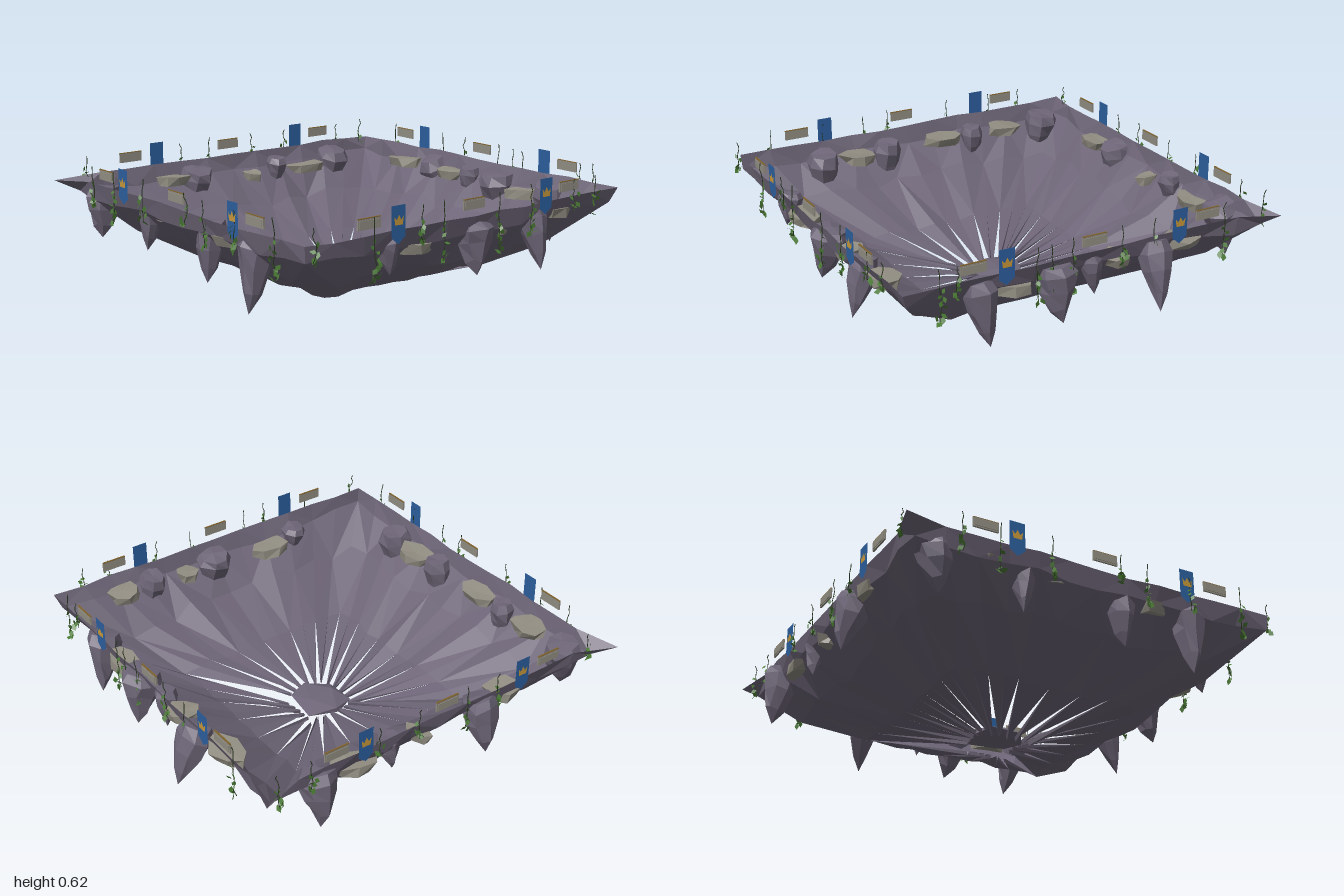
import * as THREE from 'three';
import { mergeGeometries } from 'three/addons/utils/BufferGeometryUtils.js';

const mat = (name, color, extra = {}) => {
  const m = new THREE.MeshStandardMaterial({ color, ...extra });
  m.name = name;
  return m;
};

// small seeded random in -1..1
let seed = 7;
const rnd = () => {
  seed = (seed * 16807) % 2147483647;
  return (seed / 2147483647) * 2 - 1;
};

// moves coincident corners together by a small random amount
function roughen(geo, amount) {
  const moved = new Map(), p = geo.attributes.position;
  for (let i = 0; i < p.count; i++) {
    const k = [p.getX(i), p.getY(i), p.getZ(i)].map(v => Math.round(v * 1e4)).join();
    if (!moved.has(k)) moved.set(k, [rnd() * amount, rnd() * amount, rnd() * amount]);
    const [a, b, c] = moved.get(k);
    p.setXYZ(i, p.getX(i) + a, p.getY(i) + b, p.getZ(i) + c);
  }
  geo.computeVertexNormals();
  return geo;
}

// square bowl: nested square rings, ending in separate tapering spikes
function bowlGeometry() {
  const N = 12, T = N * 4, pos = [];
  const rings = [[0.92, 0.51, 0.012], [0.895, 0.43, 0.015], [0.75, 0.29, 0.025], [0.47, 0.13, 0.012]];
  const squarePoint = (h, i) => {
    const s = Math.floor(i / N) % 4, t = (i % N) / N;
    return new THREE.Vector3(h * (2 * t - 1), 0, h).applyAxisAngle(new THREE.Vector3(0, 1, 0), s * Math.PI / 2);
  };
  const pts = rings.map(([h, y, j], r) => Array.from({ length: T }, (_, i) => {
    const v = squarePoint(h + rnd() * j * (r ? 1 : 0.6), i);
    v.x *= v.x > 0 ? 0.98 : 1.01;
    v.z *= v.z < 0 ? 0.98 : 1;
    v.y = y + rnd() * j * (r ? 1 : 0.5) - (r === 2 && i % 2 ? 0.02 : 0);
    return v;
  }));
  // drawn-out back corners
  pts[0][24].set(0.95, 0.49, -0.955);
  pts[0][36].set(-1, 0.49, -0.965);
  const tri = (...vs) => vs.forEach(v => pos.push(v.x, v.y, v.z));
  for (let r = 0; r < 3; r++) {
    for (let i = 0; i < T; i++) {
      const k = (i + 1) % T, a = pts[r][i], b = pts[r][k], c = pts[r + 1][i], d = pts[r + 1][k];
      if ((i + r) % 2) { tri(a, b, d); tri(a, d, c); } else { tri(a, b, c); tri(b, d, c); }
    }
  }
  // front and back spikes end a little higher than those at the sides
  for (let i = 0; i < T; i += 2) {
    const a = pts[3][i], m = pts[3][i + 1], b = pts[3][(i + 2) % T];
    const h = 0.115 + rnd() * 0.015, low = Math.floor(i / N) % 2 ? 0 : 0.04;
    const mid = squarePoint(h, i + 1).setY(low);
    const p = squarePoint(h, i).lerp(mid, 0.72).setY(low + 0.018);
    const q = squarePoint(h, i + 2).lerp(mid, 0.72).setY(low + 0.018);
    tri(a, m, mid); tri(a, mid, p); tri(m, b, q); tri(m, q, mid);
  }
  const g = new THREE.BufferGeometry();
  g.setAttribute('position', new THREE.Float32BufferAttribute(pos, 3));
  g.computeVertexNormals();
  return g;
}

// flat-topped rock tapering to a point below
function hangingRockGeometry(r, height) {
  const profile = [[0, -height], [r * 0.45, -height * 0.74], [r * 0.82, -height * 0.42],
    [r, -height * 0.16], [r * 0.8, 0], [0, 0.002]].map(([x, y]) => new THREE.Vector2(x, y));
  return roughen(new THREE.LatheGeometry(profile, 7), r * 0.1);
}

// thin wavering stem with small diamond leaves, denser lower down
function vineGeometries(length) {
  const path = [];
  for (let i = 0; i <= 7; i++) path.push(new THREE.Vector3(rnd() * 0.007, -length * i / 7, rnd() * 0.007));
  const curve = new THREE.CatmullRomCurve3(path);
  const leaves = [];
  const count = Math.round(length * 45);
  for (let i = 0; i < count; i++) {
    const t = 0.2 + 0.8 * Math.pow((i + 1) / count, 0.6), s = 0.008 + 0.008 * t;
    const leaf = new THREE.CircleGeometry(s, 4).scale(0.8, 1.2, 1);
    leaf.rotateX(rnd() * 0.9).rotateY(rnd() * 1.2).rotateZ(rnd());
    const p = curve.getPoint(t);
    leaves.push(leaf.translate(p.x + rnd() * 0.015, p.y, p.z + 0.004 + rnd() * 0.012));
  }
  return [new THREE.TubeGeometry(curve, 8, 0.0022, 3), mergeGeometries(leaves)];
}

const polygon = points => new THREE.Shape(points.map(([x, y]) => new THREE.Vector2(x, y)));

// per side, seen from outside: rim distance, rocks [x, radius, tip y, lean], slabs [x, width], vines x
const SIDES = [
  { name: 'front', rim: 0.92,
    rocks: [[-0.45, 0.06, 0.31, 0.15], [0.04, 0.09, 0.24, 0.2], [0.4, 0.07, 0.21, 0.25]],
    slabs: [[-0.29, 0.22], [0.21, 0.11], [0.57, 0.16]],
    vines: [-0.89, -0.58, -0.32, -0.2, 0.13, 0.33, 0.6, 0.74] },
  { name: 'right', rim: 0.9,
    rocks: [[-0.55, 0.08, 0.18, 0.15], [-0.19, 0.1, 0.21, 0.2], [0, 0.055, 0.29, 0.1], [0.31, 0.08, 0.17, 0.38]],
    slabs: [[0.49, 0.22], [0.14, 0.16], [-0.38, 0.2]],
    vines: [-0.76, -0.68, -0.3, -0.23, -0.13, 0.12, 0.28, 0.66] },
  { name: 'back', rim: 0.9,
    rocks: [[0.25, 0.09, 0.2, 0.25], [-0.25, 0.055, 0.3, 0.1], [-0.63, 0.09, 0.2, 0.2]],
    slabs: [[0.41, 0.17], [-0.43, 0.2], [-0.08, 0.08]],
    vines: [-0.87, -0.7, -0.35, -0.13, 0.13, 0.31, 0.85] },
  { name: 'left', rim: 0.93,
    rocks: [[-0.77, 0.09, 0.23, 0.1], [-0.34, 0.06, 0.25, 0.1], [0.15, 0.07, 0.2, 0.1], [0.5, 0.08, 0.15, 0.15]],
    slabs: [[-0.53, 0.2], [-0.17, 0.24], [0.31, 0.2]],
    vines: [-0.68, -0.5, -0.25, 0.1, 0.24, 0.46, 0.74] },
];

export function createModel() {
  const flat = { flatShading: true }, open = { side: THREE.DoubleSide };
  const rock = mat('purple grey rock', 0x6e6678, { ...flat, ...open });
  const stone = mat('pale stone', 0x928e83, flat);
  const blue = mat('banner blue', 0x2c5f9e, open);
  const gold = mat('gold', 0xc8983a, open);
  const bronze = mat('bronze', 0x80622c);
  const stemMat = mat('vine stem', 0x2c3a22);
  const leafMat = mat('leaf green', 0x4a7a34, open);

  const model = new THREE.Group();
  model.name = 'floatingRockBase';
  const add = (parent, name, geo, material, x = 0, y = 0, z = 0) => {
    const m = new THREE.Mesh(geo, material);
    m.name = name;
    m.position.set(x, y, z);
    parent.add(m);
    return m;
  };

  add(model, 'bowl', bowlGeometry(), rock);
  add(model, 'centreRock', roughen(new THREE.IcosahedronGeometry(0.145, 0), 0.02).scale(1, 0.22, 1), rock, 0, 0.06, 0);

  const bannerGeo = new THREE.ShapeGeometry(polygon(
    [[-0.038, 0.62], [-0.038, 0.485], [0, 0.455], [0.038, 0.485], [0.038, 0.62]]));
  const crownGeo = new THREE.ShapeGeometry(polygon(
    [[-0.021, 0.537], [0.021, 0.537], [0.026, 0.574], [0.012, 0.558], [0, 0.581], [-0.012, 0.558], [-0.026, 0.574]]));

  SIDES.forEach(({ name, rim, rocks, slabs, vines }, s) => {
    const side = new THREE.Group();
    side.name = name + 'Side';
    side.rotation.y = s * Math.PI / 2;
    model.add(side);

    for (const [x, r, tip, lean] of rocks) {
      const m = add(side, 'hangingRock', hangingRockGeometry(r, (0.47 - tip) * 1.05), rock, x, 0.47, 0.83 + lean * 0.1);
      m.rotation.set(-lean, 0, rnd() * 0.1);
    }
    for (const [x, width] of slabs) {
      const geo = roughen(new THREE.CylinderGeometry(0.5, 0.42, 1, 7).rotateY(rnd()), 0.09);
      const m = add(side, 'stoneSlab', geo.scale(width, 0.045, 0.14), stone, x, 0.415 + rnd() * 0.02, 0.84);
      m.rotation.set(rnd() * 0.1, rnd() * 0.25, rnd() * 0.08);
    }
    for (const x of vines) {
      const y = 0.6 + rnd() * 0.01;
      const [stem, leaves] = vineGeometries(0.21 + rnd() * 0.08);
      add(side, 'vineStem', stem, stemMat, x, y, rim + 0.015);
      add(side, 'vineLeaves', leaves, leafMat, x, y, rim + 0.015);
    }
    // plaques with a bronze top edge and banners, opposite sides mirrored
    const mirror = s < 2 ? 1 : -1;
    for (const x of [-0.605, -0.02, 0.57]) {
      const px = x * mirror;
      add(side, 'plaque', new THREE.BoxGeometry(0.122, 0.046, 0.008), stone, px, 0.565, rim + 0.008);
      add(side, 'plaqueFace', new THREE.BoxGeometry(0.108, 0.032, 0.003), stone, px, 0.565, rim + 0.013);
      add(side, 'plaqueEdge', new THREE.BoxGeometry(0.122, 0.003, 0.008), bronze, px, 0.589, rim + 0.008);
    }
    for (const x of [-0.45, 0.42]) {
      add(side, 'banner', bannerGeo, blue, x * mirror, 0, rim + 0.012);
      add(side, 'bannerCrown', crownGeo, gold, x * mirror, 0, rim + 0.015);
    }
  });
  return model;
}
